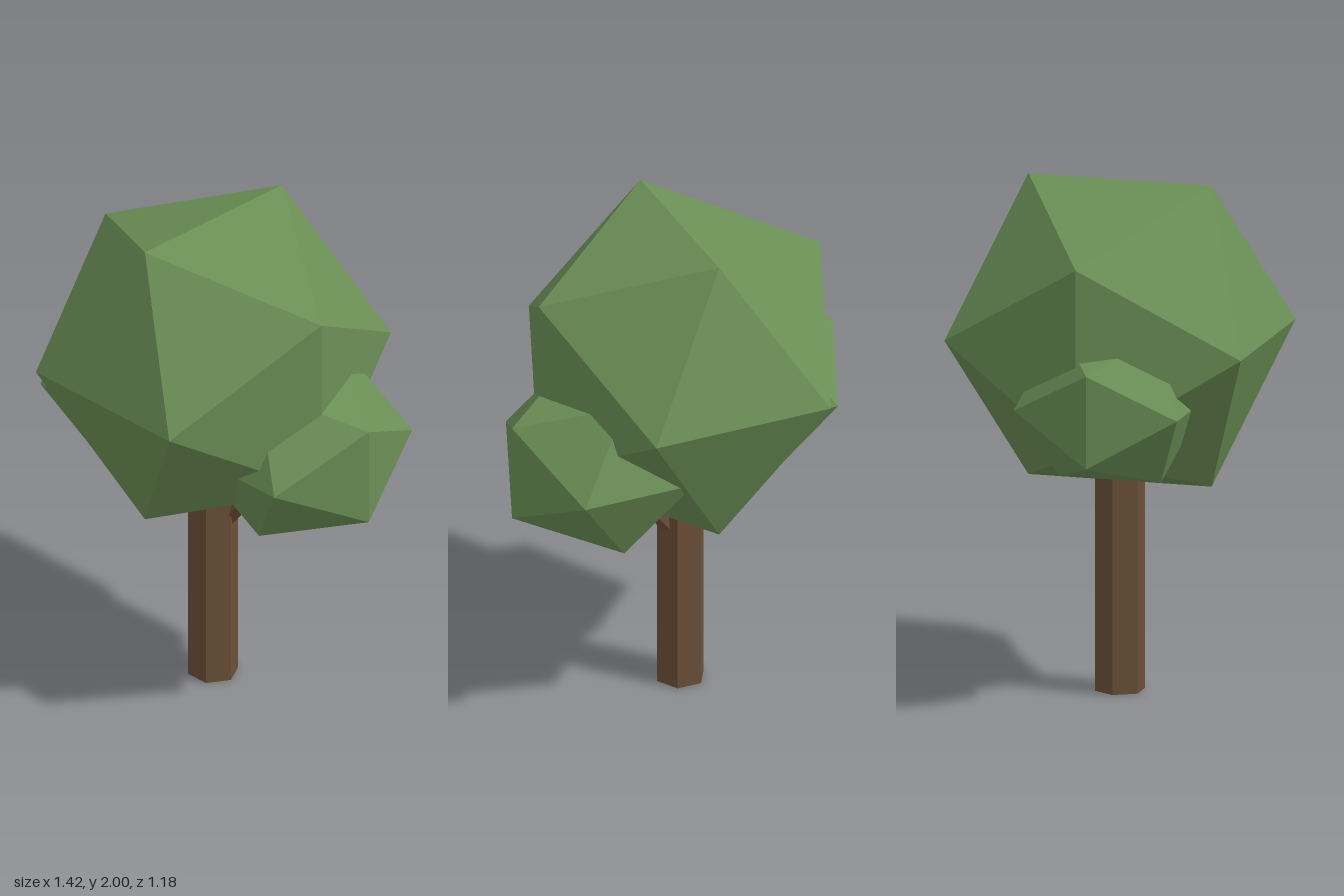
import * as THREE from 'three';

const leaf = new THREE.MeshStandardMaterial({ color: 0x6b8f56, flatShading: true });
leaf.name = 'leafGreen';
const bark = new THREE.MeshStandardMaterial({ color: 0x6b4f38, flatShading: true });
bark.name = 'barkBrown';

// Faceted foliage clump, optionally squashed in height
function clump(name, radius, squash, x, y, z) {
  const geometry = new THREE.IcosahedronGeometry(radius, 0);
  geometry.rotateY(Math.PI / 2).scale(1, squash, 1);
  const mesh = new THREE.Mesh(geometry, leaf);
  mesh.name = name;
  mesh.position.set(x, y, z);
  return mesh;
}

// Straight faceted limb between two points
function limb(name, start, end, rBottom, rTop, sides) {
  const dir = end.clone().sub(start);
  const geometry = new THREE.CylinderGeometry(rTop, rBottom, dir.length(), sides);
  geometry.rotateY(Math.PI / 2);
  const mesh = new THREE.Mesh(geometry, bark);
  mesh.name = name;
  mesh.position.copy(start).add(end).multiplyScalar(0.5);
  mesh.quaternion.setFromUnitVectors(new THREE.Vector3(0, 1, 0), dir.normalize());
  return mesh;
}

export function createModel() {
  const tree = new THREE.Group();
  tree.name = 'tree';
  const v = (x, y, z) => new THREE.Vector3(x, y, z);

  // Hexagonal trunk and the side branch that carries the left clump
  tree.add(limb('trunk', v(-0.042, 0, 0), v(-0.042, 0.87, 0), 0.098, 0.098, 6));
  tree.add(limb('branch', v(0.01, 0.69, -0.018), v(0.3, 1.08, -0.085), 0.035, 0.035, 5));

  // Crown with a smaller clump on each side
  tree.add(clump('crown', 0.694, 1, -0.04, 1.41, 0));
  tree.add(clump('leftClump', 0.432, 0.875, 0.34, 1.13, -0.1));
  tree.add(clump('rightClump', 0.382, 0.905, -0.385, 1.2, 0.065));

  return tree;
}
